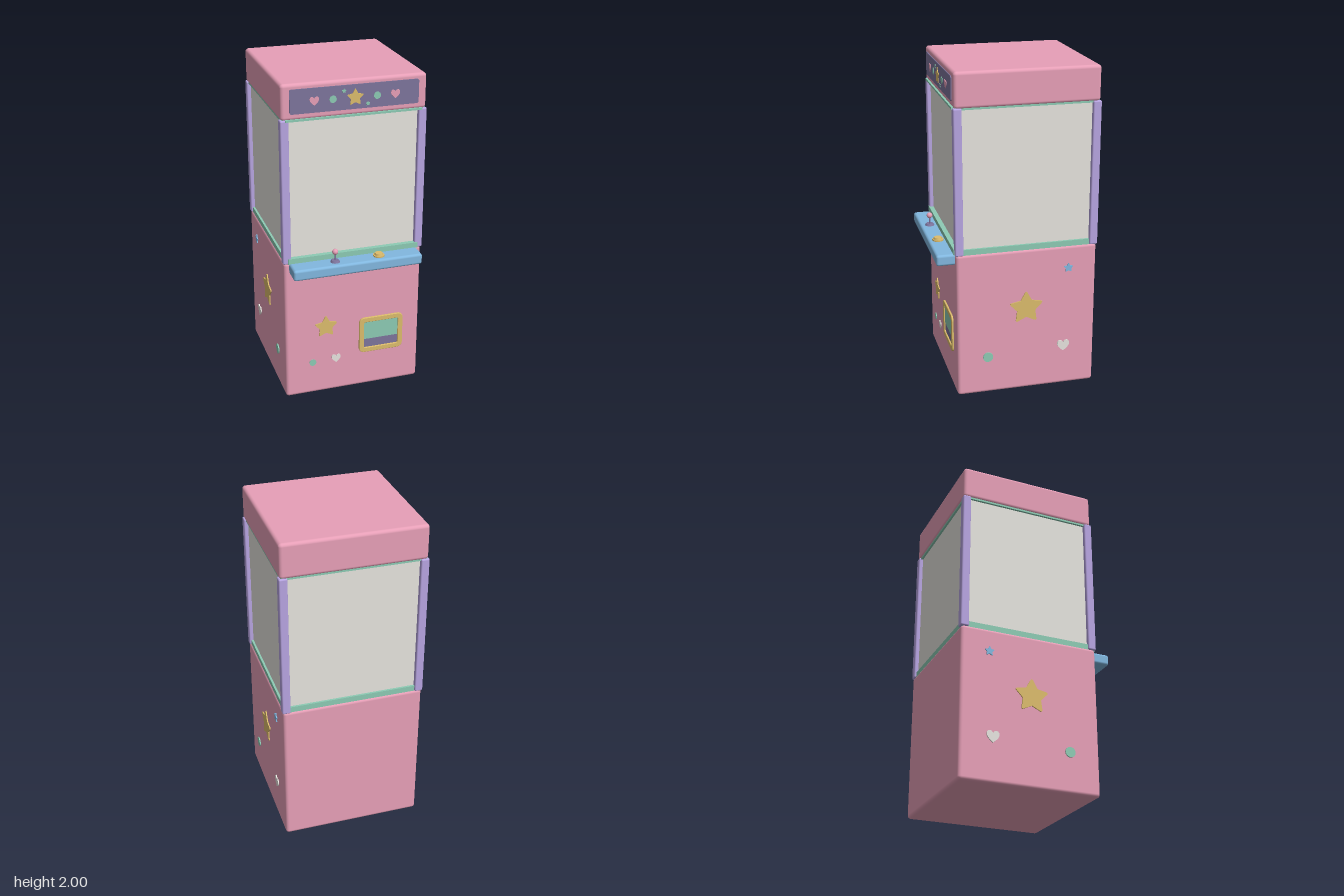
import * as THREE from 'three';
import { RoundedBoxGeometry } from 'three/addons/geometries/RoundedBoxGeometry.js';

const mat = (name, color) => {
  const m = new THREE.MeshStandardMaterial({ color });
  m.name = name;
  return m;
};

export function createModel() {
  const pink = mat('pink', 0xe8a0b8), lilac = mat('lilac', 0xb8a5e2), plum = mat('plum', 0x7d749c);
  const mint = mat('mint', 0x8dcbb4), gold = mat('gold', 0xdcbc6c), blue = mat('blue', 0x82b8e0);
  const white = mat('white', 0xf2efea), glass = mat('glass', 0xe6e4de);
  const root = new THREE.Group();
  const CZ = -0.055, FRONT = 0.375, SIDE = 0.43;

  const add = (name, geo, m, x, y, z, parent = root) => {
    const mesh = new THREE.Mesh(geo, m);
    mesh.name = name;
    mesh.position.set(x, y, z);
    parent.add(mesh);
    return mesh;
  };
  // Rounded box given by its extents
  const block = (name, m, x0, x1, y0, y1, z0, z1, r = 0.01) =>
    add(name, new RoundedBoxGeometry(x1 - x0, y1 - y0, z1 - z0, 3, r), m,
      (x0 + x1) / 2, (y0 + y1) / 2, (z0 + z1) / 2);

  // Outlines for the stickers
  const star = (r) => {
    const s = new THREE.Shape(), p = [];
    for (let i = 0; i < 10; i++) {
      const a = Math.PI / 2 + i * Math.PI / 5, q = i % 2 ? r * 0.56 : r * 1.06;
      p.push(new THREE.Vector2(Math.cos(a) * q, Math.sin(a) * q));
    }
    // rounded tips, sharp inner corners
    p.forEach((v, i) => {
      if (i % 2) return;
      const before = p[(i + 9) % 10], after = p[(i + 1) % 10];
      const a = v.clone().lerp(before, 0.25), b = v.clone().lerp(after, 0.25);
      if (i === 0) s.moveTo(a.x, a.y); else s.lineTo(a.x, a.y);
      s.quadraticCurveTo(v.x, v.y, b.x, b.y);
      s.lineTo(after.x, after.y);
    });
    return s;
  };
  const heart = (r) => {
    const s = new THREE.Shape();
    s.moveTo(0, -r);
    s.bezierCurveTo(r * 0.5, -r * 0.6, r * 1.1, -r * 0.1, r, r * 0.4);
    s.bezierCurveTo(r * 0.9, r * 1.0, r * 0.2, r * 1.0, 0, r * 0.45);
    s.bezierCurveTo(-r * 0.2, r * 1.0, -r * 0.9, r * 1.0, -r, r * 0.4);
    s.bezierCurveTo(-r * 1.1, -r * 0.1, -r * 0.5, -r * 0.6, 0, -r);
    return s;
  };
  const dot = (r) => new THREE.Shape().absarc(0, 0, r, 0, Math.PI * 2);
  const rounded = (w, h, r, Type = THREE.Shape) => {
    const s = new Type(), x = w / 2 - r, y = h / 2 - r;
    s.absarc(x, y, r, 0, Math.PI / 2);
    s.absarc(-x, y, r, Math.PI / 2, Math.PI);
    s.absarc(-x, -y, r, Math.PI, Math.PI * 1.5);
    s.absarc(x, -y, r, Math.PI * 1.5, Math.PI * 2);
    s.closePath();
    return s;
  };
  const plate = (shape, depth) =>
    new THREE.ExtrudeGeometry(shape, { depth, bevelEnabled: false, curveSegments: 8 });

  // Cabinet, top box and corner posts
  block('cabinet', pink, -SIDE, SIDE, 0, 0.92, CZ - 0.43, FRONT, 0.02);
  block('topBox', pink, -SIDE, SIDE, 1.79, 2, CZ - 0.43, FRONT, 0.02);
  for (const sx of [-1, 1]) for (const sz of [-1, 1]) {
    const x = sx * 0.41, z = CZ + sz * 0.41;
    block('cornerPost', lilac, x - 0.025, x + 0.025, 0.915, 1.795, z - 0.025, z + 0.025, 0.009);
  }

  // Window box between mint rails
  add('windows', new THREE.BoxGeometry(0.82, 0.86, 0.82), glass, 0, 1.365, CZ);
  add('lowerRail', new THREE.BoxGeometry(0.846, 0.04, 0.846), mint, 0, 0.93, CZ);
  add('upperRail', new THREE.BoxGeometry(0.846, 0.02, 0.846), mint, 0, 1.793, CZ);
  for (const [y, h] of [[0.933, 0.034], [1.792, 0.012]])
    add('frontRail', new THREE.BoxGeometry(0.81, h, 0.02), mint, 0, y, 0.374);

  // Control shelf
  block('controlShelf', blue, -0.398, 0.398, 0.85, 0.918, 0.36, 0.485, 0.015);
  const stick = new THREE.Group();
  stick.name = 'joystick';
  stick.position.set(-0.132, 0.918, 0.427);
  root.add(stick);
  add('joystickBase', new THREE.CylinderGeometry(0.022, 0.029, 0.012, 20), plum, 0, 0.006, 0, stick);
  add('joystickShaft', new THREE.CylinderGeometry(0.005, 0.005, 0.06, 10), plum, 0, 0.035, 0, stick);
  add('joystickBall', new THREE.SphereGeometry(0.018, 18, 12), pink, 0, 0.064, 0, stick);
  add('buttonRing', new THREE.CylinderGeometry(0.034, 0.034, 0.009, 24), gold, 0.14, 0.9215, 0.427);
  add('button', new THREE.CylinderGeometry(0.023, 0.027, 0.014, 24), gold, 0.14, 0.931, 0.427);

  // Sign panel with its ornaments
  add('signPanel', plate(rounded(0.76, 0.142, 0.012), 0.007), plum, 0, 1.899, FRONT - 0.001);
  const signZ = FRONT + 0.005;
  add('signStar', plate(star(0.05), 0.005), gold, 0, 1.896, signZ);
  for (const s of [-1, 1]) {
    add('signHeart', plate(heart(0.027), 0.004), pink, s * 0.238, 1.897, signZ);
    add('signDot', plate(dot(0.021), 0.004), mint, s * 0.13, 1.896, signZ);
  }
  add('signSparkle', plate(star(0.014), 0.004), mint, -0.066, 1.938, signZ);
  add('signSparkle', plate(star(0.014), 0.004), mint, 0.075, 1.854, signZ);

  // Prize door: frame, dark opening and flap
  const frame = rounded(0.278, 0.236, 0.03);
  frame.holes.push(rounded(0.226, 0.184, 0.012, THREE.Path));
  add('prizeFrame', new THREE.ExtrudeGeometry(frame, {
    depth: 0.008, bevelThickness: 0.004, bevelSize: 0.003, bevelSegments: 2, curveSegments: 6,
  }), gold, 0.18, 0.36, FRONT - 0.001);
  add('prizeOpening', new THREE.BoxGeometry(0.226, 0.184, 0.004), plum, 0.18, 0.36, FRONT);
  add('prizeFlap', new THREE.BoxGeometry(0.222, 0.12, 0.006), mint, 0.18, 0.39, FRONT + 0.002);

  // Stickers on the front
  const front = FRONT - 0.001;
  add('frontStar', plate(star(0.073), 0.008), gold, -0.175, 0.46, front);
  add('frontDot', plate(dot(0.022), 0.006), mint, -0.26, 0.22, front);
  add('frontHeart', plate(heart(0.029), 0.006), white, -0.11, 0.228, front);

  // Stickers on both sides, mirrored
  for (const s of [-1, 1]) {
    const sticker = (name, shape, m, z, y) => {
      add(name, plate(shape, 0.008), m, s * (SIDE - 0.001), y, z).rotation.y = s * Math.PI / 2;
    };
    sticker('sideStar', star(0.106), gold, -0.05, 0.545);
    sticker('sideSmallStar', star(0.03), blue, -0.312, 0.78);
    sticker('sideHeart', heart(0.038), white, -0.288, 0.268);
    sticker('sideDot', dot(0.031), mint, 0.187, 0.242);
  }
  return root;
}
